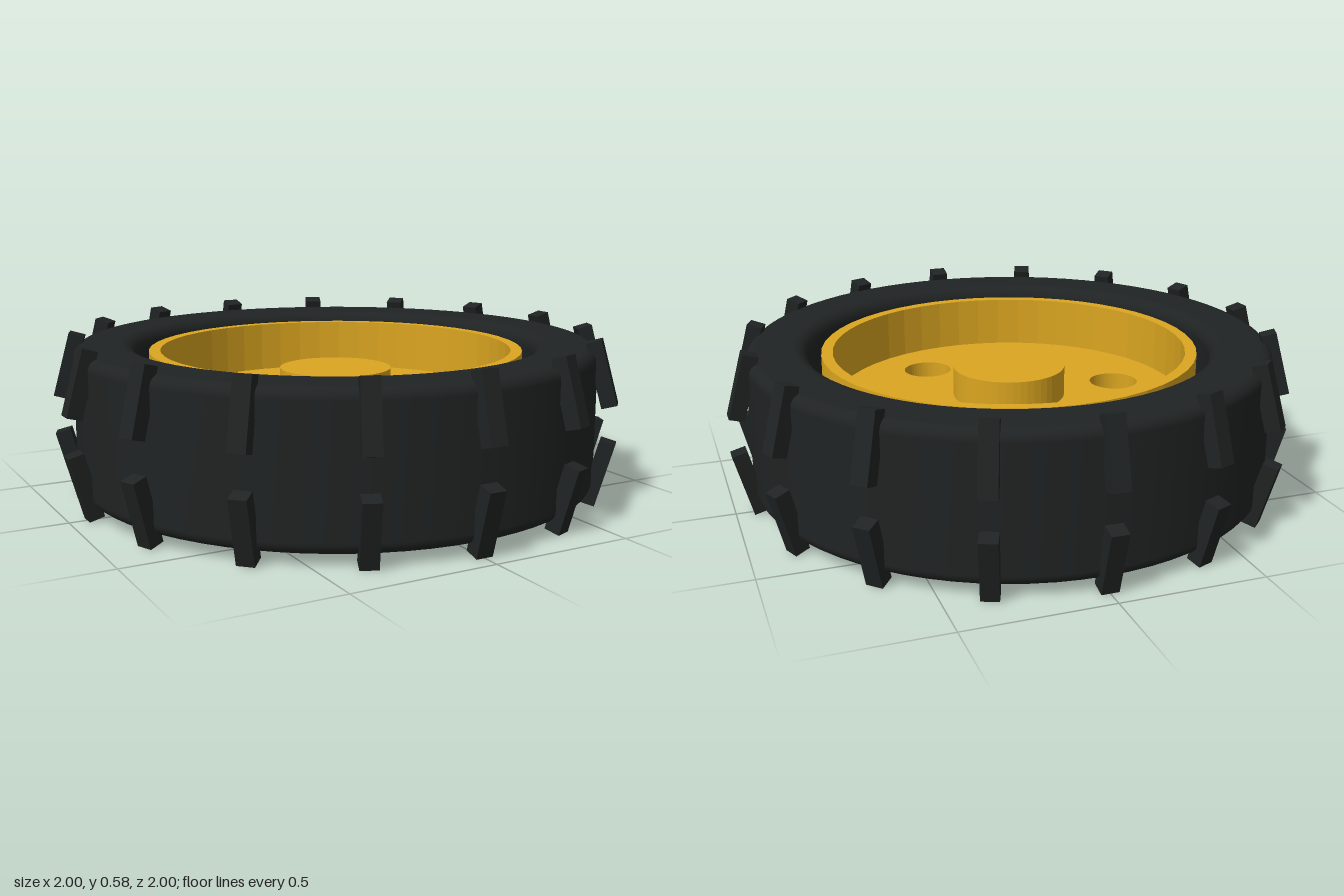
import * as THREE from 'three';

const MID = 0.29; // height of the wheel's mid-plane
const rubber = new THREE.MeshStandardMaterial({ color: 0x202323 });
const gold = new THREE.MeshStandardMaterial({ color: 0xdaa520 });

function add(parent, name, geometry, material) {
  const mesh = new THREE.Mesh(geometry, material);
  mesh.name = name;
  parent.add(mesh);
  return mesh;
}

function circle(Type, x, y, r) {
  return new Type().absarc(x, y, r, 0, Math.PI * 2, false);
}

// Horizontal plate with holes, centred on y = 0
function plate(radius, height, holes) {
  const shape = circle(THREE.Shape, 0, 0, radius);
  shape.holes.push(...holes);
  const geo = new THREE.ExtrudeGeometry(shape, { depth: height, bevelEnabled: false, curveSegments: 24 });
  return geo.translate(0, 0, -height / 2).rotateX(-Math.PI / 2);
}

// Rounded rectangular ring profile, counterclockwise from the outer wall
function tyreProfile(inner, outer, half, rOut, rIn) {
  const points = [];
  const corner = (cx, cy, r, start) => {
    for (let i = 0; i <= 6; i++) {
      const a = start + (i / 6) * Math.PI / 2;
      points.push(new THREE.Vector2(cx + r * Math.cos(a), cy + r * Math.sin(a)));
    }
  };
  points.push(new THREE.Vector2(outer, 0));
  corner(outer - rOut, half - rOut, rOut, 0);
  corner(inner + rIn, half - rIn, rIn, Math.PI / 2);
  corner(inner + rIn, -half + rIn, rIn, Math.PI);
  corner(outer - rOut, -half + rOut, rOut, Math.PI * 1.5);
  points.push(new THREE.Vector2(outer, 0));
  return points;
}

export function createModel() {
  const wheel = new THREE.Group();
  wheel.name = 'wheel';

  // Tyre
  const tyre = new THREE.LatheGeometry(tyreProfile(0.708, 0.925, 0.253, 0.04, 0.05), 72);
  add(wheel, 'tyre', tyre, rubber).position.y = MID;

  // Two rows of tilted tread lugs, mirrored about the mid-plane
  const treads = new THREE.Group();
  treads.name = 'treads';
  wheel.add(treads);
  const count = 16;
  for (const side of [1, -1]) {
    const lug = new THREE.BoxGeometry(0.054, 0.23, 0.06);
    lug.rotateZ(side * 0.27).translate(0.943, MID + side * 0.172, 0);
    for (let i = 0; i < count; i++) {
      add(treads, side > 0 ? 'upperLug' : 'lowerLug', lug, rubber).rotation.y = (i / count) * Math.PI * 2;
    }
  }

  // Rim band, web with six round holes, and hub
  const rim = new THREE.Group();
  rim.name = 'rim';
  rim.position.y = MID;
  wheel.add(rim);
  add(rim, 'rimBand', plate(0.665, 0.445, [circle(THREE.Path, 0, 0, 0.625)]), gold);
  const holes = [];
  for (let i = 0; i < 6; i++) {
    const a = (i * Math.PI) / 3;
    holes.push(circle(THREE.Path, 0.413 * Math.cos(a), 0.413 * Math.sin(a), 0.088));
  }
  add(rim, 'web', plate(0.635, 0.08, holes), gold);
  add(rim, 'hub', plate(0.2, 0.295, []), gold);

  return wheel;
}
